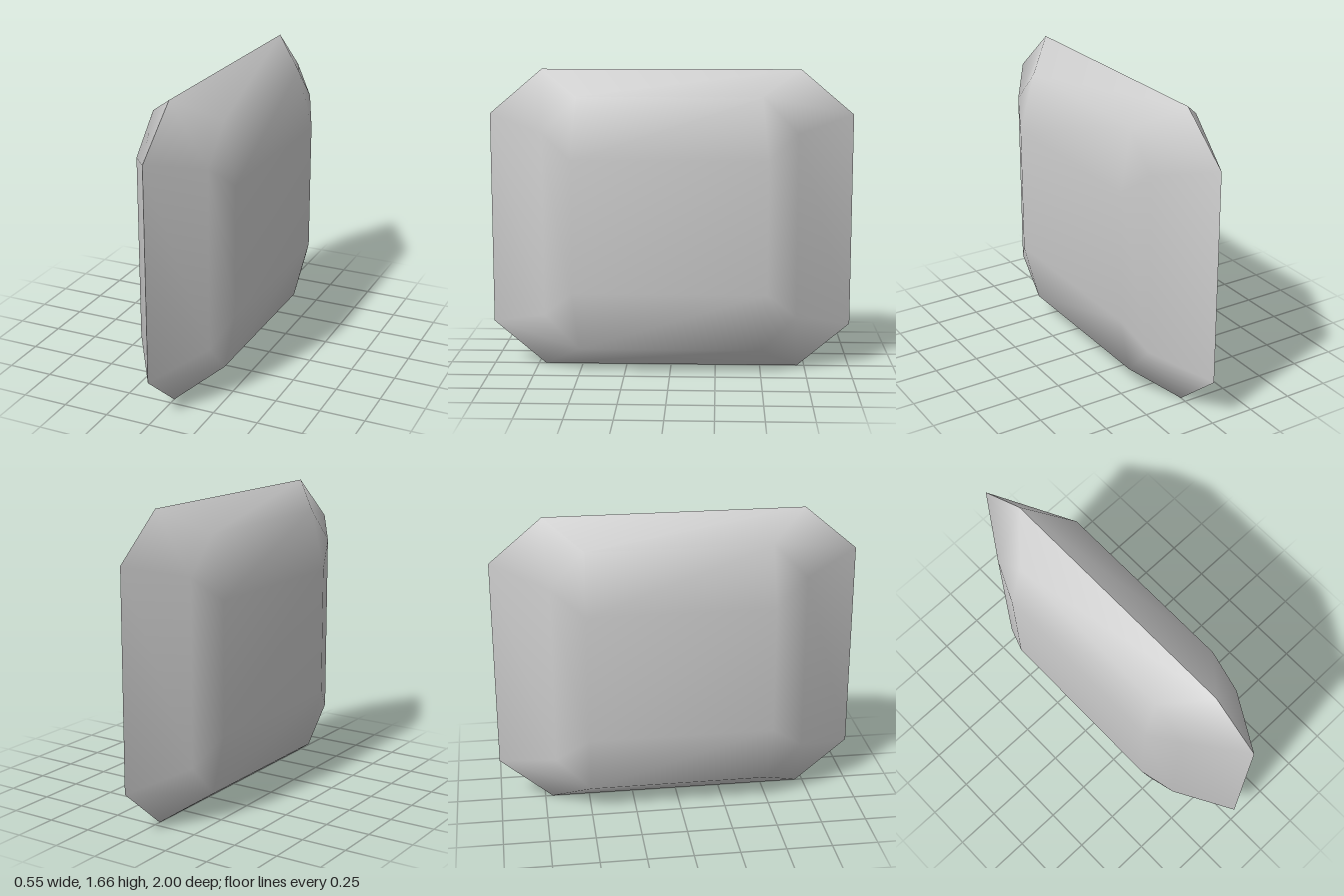
import * as THREE from 'three';

const MID_Y = 0.8325;

// Eight-sided ring with cut corners, counter-clockwise seen from +x.
// [w, h] is the half size, [cw, ch] the half length of its straight sides.
function cutRing(x, w, h, cw, ch) {
  const points = [];
  [[1, 1], [-1, 1], [-1, -1], [1, -1]].forEach(([u, v], q) => {
    const side = [x, MID_Y + v * ch, -u * w];
    const cap = [x, MID_Y + v * h, -u * cw];
    points.push(...(q % 2 ? [cap, side] : [side, cap]));
  });
  return points;
}

// One domed half: rim, bevel ring and a flat rectangular face
function halfGeometry(faceHalfDepth, faceHalfHeight) {
  const rim = cutRing(0, 1, MID_Y, 0.71, 0.5875);
  const bevel = cutRing(0.2, 0.69, 0.695, 0.5, 0.5);
  const face = [[1, 1], [-1, 1], [-1, -1], [1, -1]].map(([u, v]) =>
    [0.275, MID_Y + v * faceHalfHeight, -u * faceHalfDepth]);

  const index = [];
  const quad = (a, b, c, d) => index.push(a, b, c, a, c, d);
  const B = 8, F = 16;
  for (let i = 0; i < 8; i++) {
    const j = (i + 1) % 8;
    quad(i, j, B + j, B + i);
  }
  for (let q = 0; q < 4; q++) {
    const a = B + 2 * q, next = (q + 1) % 4;
    index.push(a, a + 1, F + q); // corner facet
    quad(a + 1, B + 2 * next, F + next, F + q); // side facet
  }
  quad(F, F + 1, F + 2, F + 3);

  const geometry = new THREE.BufferGeometry();
  geometry.setAttribute('position',
    new THREE.Float32BufferAttribute([...rim, ...bevel, ...face].flat(), 3));
  geometry.setIndex(index);
  geometry.computeVertexNormals(); // smooth inside a half, sharp at the rim
  return geometry;
}

export function createModel() {
  const group = new THREE.Group();
  group.name = 'cutGem';
  const material = new THREE.MeshStandardMaterial({ color: 0xcccccc });

  const left = new THREE.Mesh(halfGeometry(0.53, 0.365), material);
  left.name = 'leftHalf';

  // The other half is the same shape turned around
  const right = new THREE.Mesh(halfGeometry(0.51, 0.36), material);
  right.name = 'rightHalf';
  right.rotation.y = Math.PI;

  group.add(left, right);
  return group;
}
